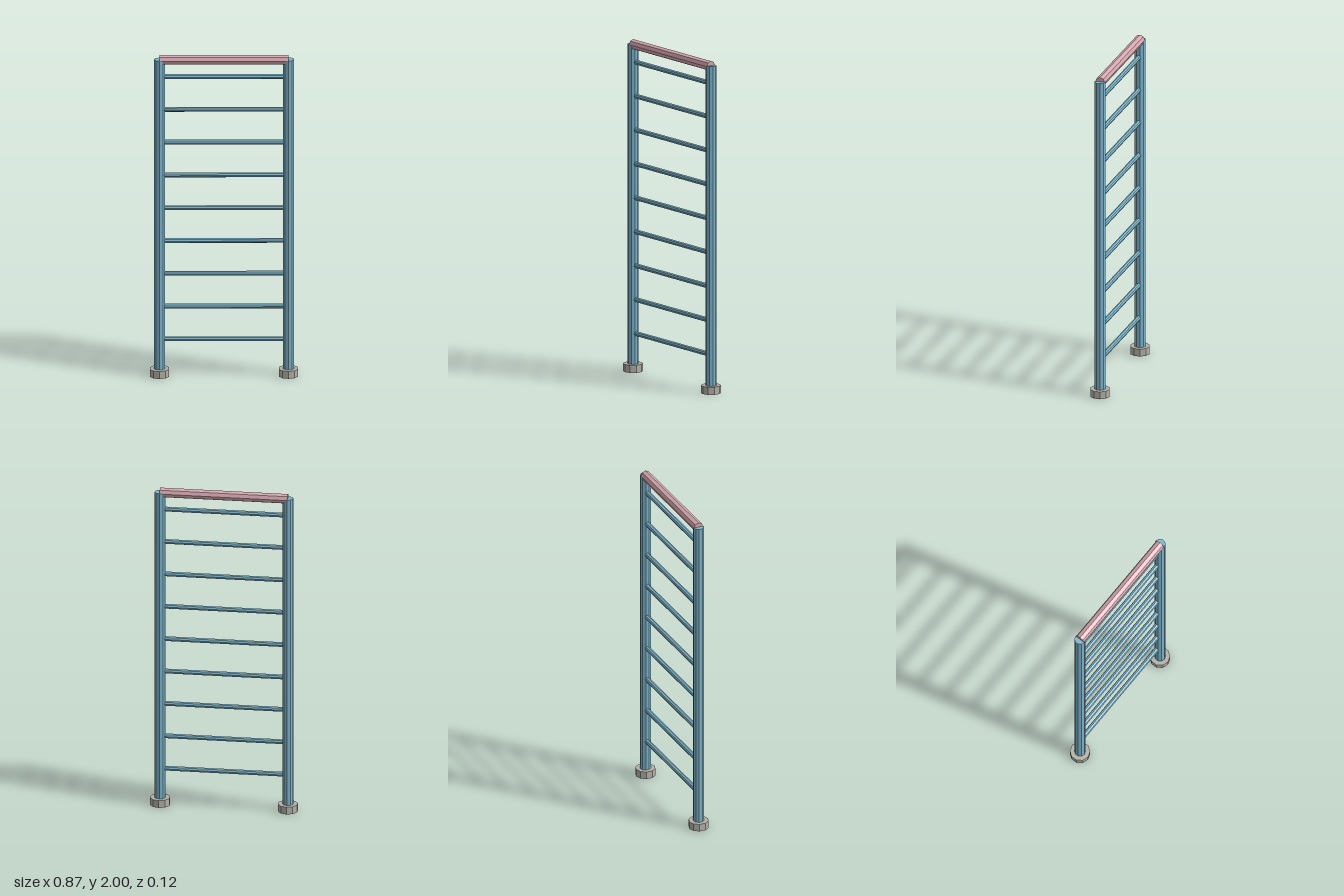
import * as THREE from 'three';

const flat = (name, color) => {
  const m = new THREE.MeshStandardMaterial({ color });
  m.name = name;
  m.flatShading = true;
  return m;
};

export function createModel() {
  const group = new THREE.Group();
  const blue = flat('blue metal', 0x7fb6cc);
  const pink = flat('pink bar', 0xd6a8b0);
  const grey = flat('grey foot', 0xb3b1a8);

  const rod = (name, radius, length, sides, material, x, y) => {
    const mesh = new THREE.Mesh(new THREE.CylinderGeometry(radius, radius, length, sides), material);
    mesh.name = name;
    mesh.position.set(x, y, 0);
    group.add(mesh);
    return mesh;
  };

  // Upright posts with ten-sided feet
  const postX = 0.38, postTop = 1.973, footHeight = 0.046;
  for (const [side, s] of [['left', 1], ['right', -1]]) {
    rod(side + 'Post', 0.033, postTop - 0.02, 10, blue, s * postX, (postTop + 0.02) / 2);
    rod(side + 'Foot', 0.06, footHeight, 10, grey, s * postX, footHeight / 2);
  }

  // Nine evenly spaced rungs
  for (let i = 0; i < 9; i++) {
    rod('rung' + (i + 1), 0.015, 0.74, 8, blue, 0, 0.23 + i * 0.2045).rotation.z = Math.PI / 2;
  }

  // Thicker top bar, eight-sided
  rod('topBar', 0.03, 2 * postX, 8, pink, 0, 1.97).rotation.z = Math.PI / 2;

  return group;
}
